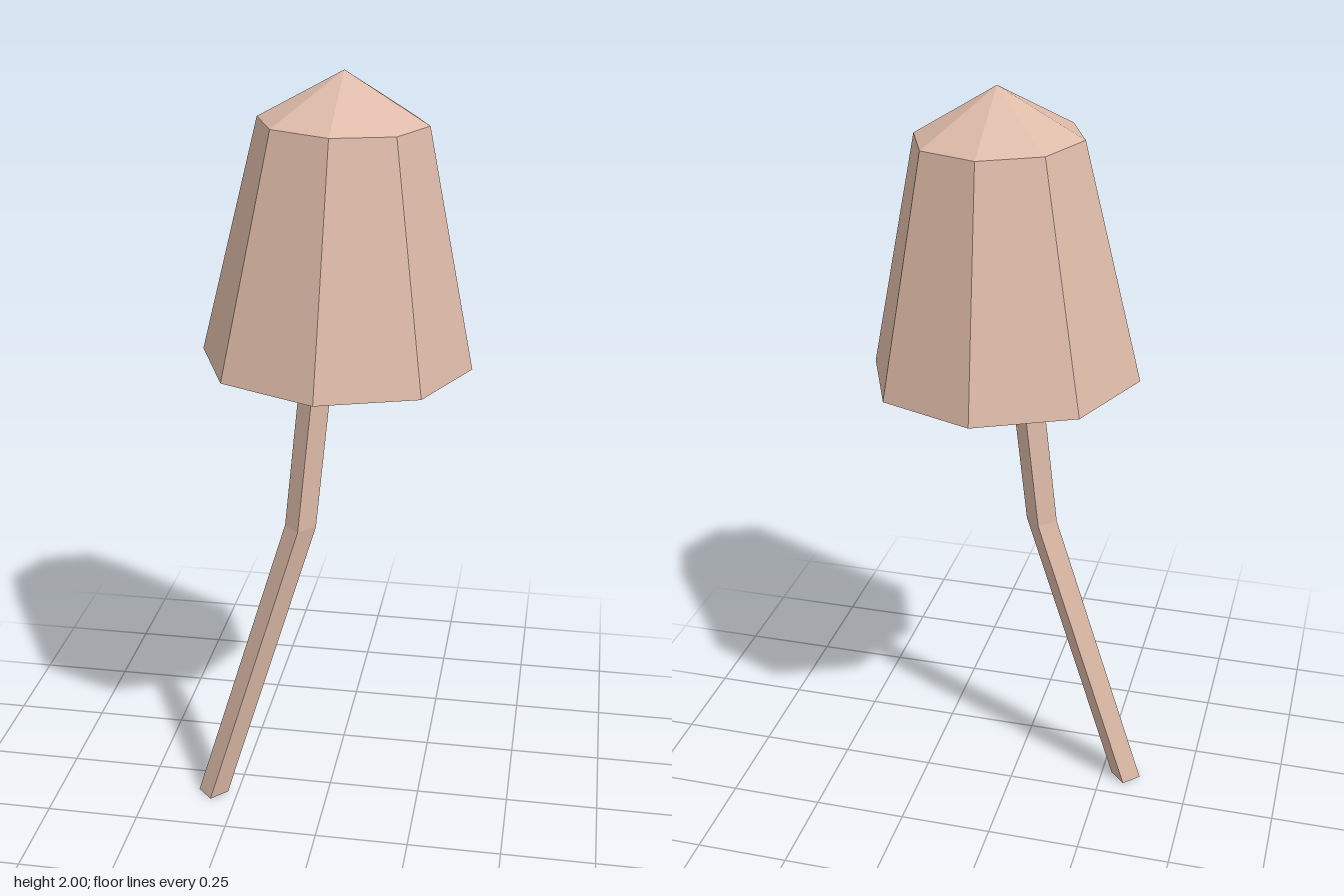
import * as THREE from 'three';

export function createModel() {
  const model = new THREE.Group();
  model.name = 'mushroom';

  const skin = new THREE.MeshStandardMaterial({ color: 0xdebba9, flatShading: true, side: THREE.DoubleSide });
  skin.name = 'pale pink beige';

  // Stem: a four-sided tube whose rows of vertices follow a bent centre line
  const centres = [
    new THREE.Vector3(-0.319, 0, 0.09),
    new THREE.Vector3(-0.07, 0.83, 0.056),
    new THREE.Vector3(0.03, 1.88, -0.002),
  ];
  const stemGeometry = new THREE.CylinderGeometry(0.041, 0.041, 2, 4, 2);
  const pos = stemGeometry.attributes.position;
  for (let i = 0; i < pos.count; i++) {
    const c = centres[Math.round(pos.getY(i) + 1)];
    pos.setXYZ(i, pos.getX(i) + c.x, c.y, pos.getZ(i) + c.z);
  }
  stemGeometry.computeVertexNormals();
  const stem = new THREE.Mesh(stemGeometry, skin);
  stem.name = 'stem';

  // Cap: a hollow eight-sided bell, open below and slightly tilted
  const profile = [[0.345, 0], [0.21, 0.6], [0, 0.721]].map(([r, y]) => new THREE.Vector2(r, y));
  const cap = new THREE.Mesh(new THREE.LatheGeometry(profile, 8), skin);
  cap.name = 'cap';
  cap.position.set(0.015, 1.279, -0.001);
  cap.rotation.set(-0.004, 0, -0.025);

  model.add(stem, cap);
  return model;
}
